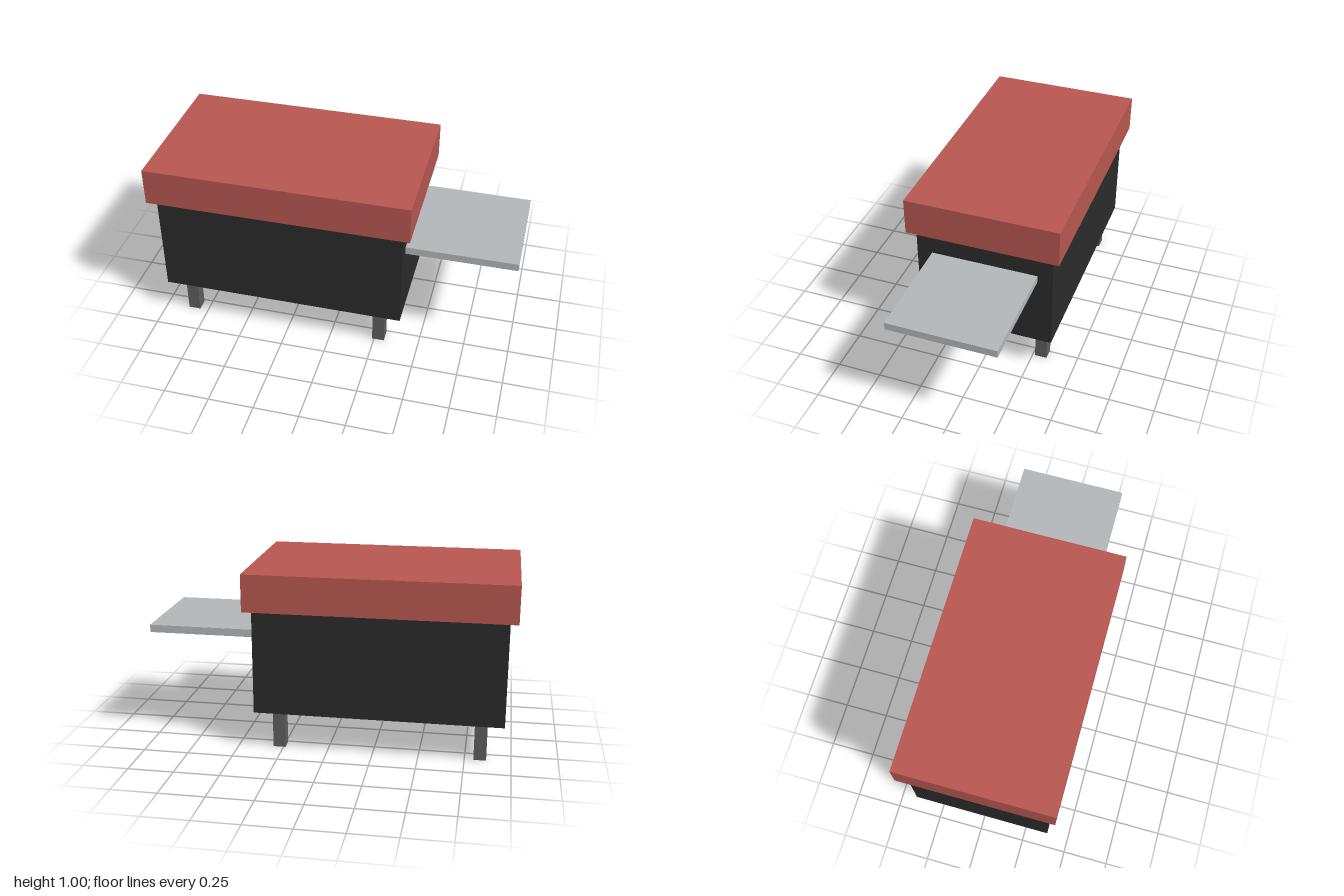
import * as THREE from 'three';

export function createModel() {
  const group = new THREE.Group();
  group.name = 'grill';

  const material = (name, color) => {
    const m = new THREE.MeshStandardMaterial({ color });
    m.name = name;
    return m;
  };
  const red = material('lid red', 0xb85750);
  const black = material('body black', 0x2b2b2b);
  const darkGrey = material('leg grey', 0x5e5e60);
  const lightGrey = material('shelf grey', 0xb4b7ba);

  // Box placed by its x and y extents and its z centre
  const addBox = (name, mat, [x0, x1], [y0, y1], depth, z = 0) => {
    const mesh = new THREE.Mesh(new THREE.BoxGeometry(x1 - x0, y1 - y0, depth), mat);
    mesh.position.set((x0 + x1) / 2, (y0 + y1) / 2, z);
    mesh.name = name;
    group.add(mesh);
  };

  // Firebox, overhanging lid and side shelf
  addBox('body', black, [-0.957, 0.402], [0.215, 0.795], 0.766);
  addBox('lid', red, [-1, 0.445], [0.795, 1], 0.85);
  addBox('sideShelf', lightGrey, [0.402, 1], [0.62, 0.662], 0.595);

  // Four square legs
  for (const [side, x] of [['Right', -0.833], ['Left', 0.273]]) {
    for (const [end, z] of [['front', 0.298], ['back', -0.298]]) {
      addBox(`${end}${side}Leg`, darkGrey, [x - 0.034, x + 0.034], [0, 0.215], 0.068, z);
    }
  }

  return group;
}
